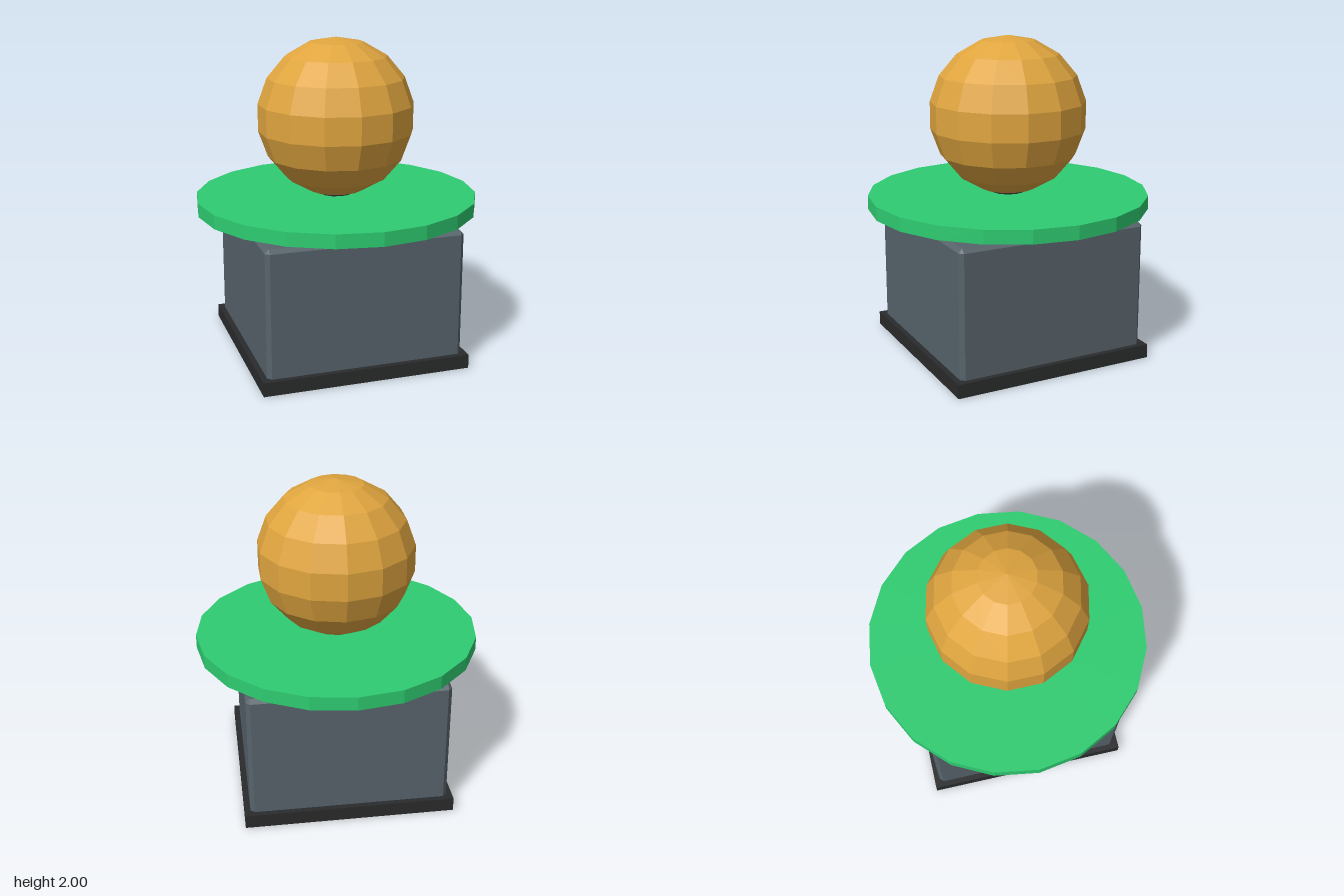
import * as THREE from 'three';
import { ConvexGeometry } from 'three/addons/geometries/ConvexGeometry.js';

// Box with a single flat chamfer on every edge
function chamferBox(w, h, d, c) {
  const pts = [];
  for (const sx of [-1, 1]) for (const sy of [-1, 1]) for (const sz of [-1, 1]) {
    for (let axis = 0; axis < 3; axis++) {
      const half = [w / 2 - c, h / 2 - c, d / 2 - c];
      half[axis] += c;
      pts.push(new THREE.Vector3(sx * half[0], sy * half[1], sz * half[2]));
    }
  }
  return new ConvexGeometry(pts);
}

export function createModel() {
  const model = new THREE.Group();
  model.name = 'ballOnPedestal';

  const add = (name, geometry, color, y) => {
    const material = new THREE.MeshStandardMaterial({ color, flatShading: true });
    const mesh = new THREE.Mesh(geometry, material);
    mesh.name = name;
    mesh.position.y = y;
    model.add(mesh);
    return mesh;
  };
  // Upright cylinder between two heights
  const disc = (name, r, y0, y1, sides, color) =>
    add(name, new THREE.CylinderGeometry(r, r, y1 - y0, sides), color, (y0 + y1) / 2);

  // Plinth band around the foot, a hair above the body's underside
  add('plinth', new THREE.BoxGeometry(1.305, 0.087, 1.305), 0x2a2b2c, 0.0465);
  // Chamfered body
  add('body', chamferBox(1.235, 0.887, 1.235, 0.025), 0x57636b, 0.4435);
  // Collar, tray and short stem
  disc('collar', 0.3, 0.88, 0.94, 20, 0x3a4146);
  disc('tray', 0.882, 0.934, 1.02, 20, 0x2ecc71);
  disc('stem', 0.106, 1.015, 1.05, 12, 0x2a2b2c);

  // Faceted ball, turned so a row of corners faces front and back
  const ball = add('ball', new THREE.SphereGeometry(0.4925, 14, 9), 0xe0a53f, 1.5075);
  ball.rotation.y = Math.PI / 2;

  return model;
}
